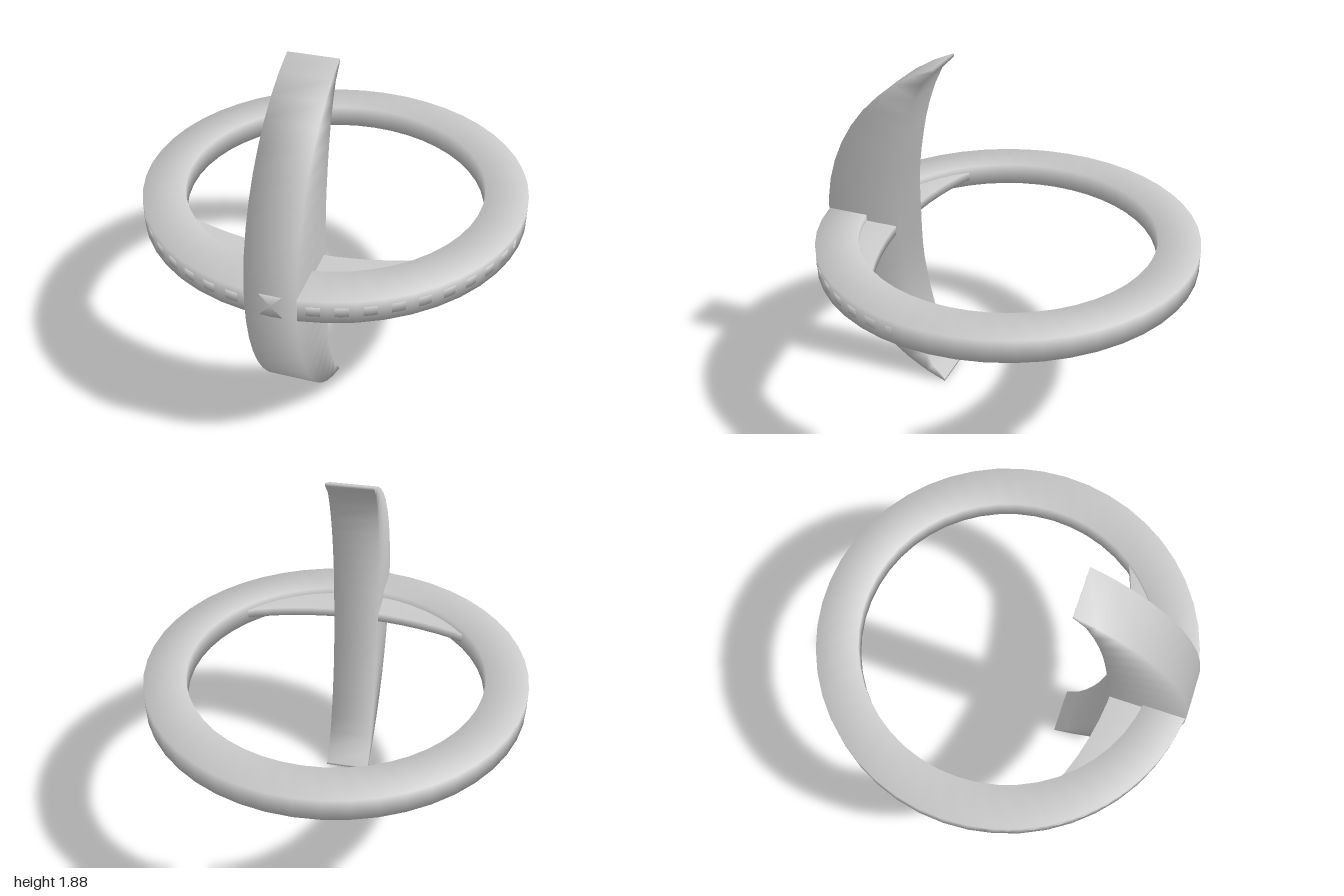
import * as THREE from 'three';

const MID = 0.94;      // height of the ring plane
const SEGMENTS = 48;   // sides of the ring

// Skins four-cornered sections [x, z] outer and inner, of half height h.
function sweep(sections, h, closed) {
  const pos = [], index = [], n = sections.length;
  for (const { outer, inner } of sections) {
    pos.push(outer[0], h, outer[1], inner[0], h, inner[1]);
    pos.push(inner[0], -h, inner[1], outer[0], -h, outer[1]);
  }
  for (let i = 0; i < (closed ? n : n - 1); i++) {
    const a = i * 4, b = ((i + 1) % n) * 4;
    for (let j = 0; j < 4; j++) {
      const k = (j + 1) % 4;
      index.push(a + j, b + j, a + k, b + j, b + k, a + k);
    }
  }
  if (!closed) {
    const e = (n - 1) * 4;
    index.push(0, 1, 2, 0, 2, 3, e, e + 3, e + 2, e, e + 2, e + 1);
  }
  const geometry = new THREE.BufferGeometry();
  geometry.setAttribute('position', new THREE.Float32BufferAttribute(pos, 3));
  geometry.setIndex(index);
  geometry.computeVertexNormals();
  return geometry;
}

// Crescent with a unit-circle outer edge and a mirrored spline inner edge.
function crescent(halfAngle, steps, innerHalf, h) {
  const mirrored = innerHalf.slice(1).reverse().map(([x, z]) => [-x, z]);
  const curve = new THREE.SplineCurve(
    [...mirrored, ...innerHalf].map(([x, z]) => new THREE.Vector2(x, z)));
  const sections = [];
  for (let i = 0; i <= steps; i++) {
    const t = halfAngle * (2 * i / steps - 1);
    const p = curve.getPointAt(i / steps);
    sections.push({ outer: [Math.sin(t), Math.cos(t)], inner: [p.x, p.y] });
  }
  return sweep(sections, h, false);
}

export function createModel() {
  const group = new THREE.Group();
  const material = new THREE.MeshStandardMaterial({ color: 0xcccccc });
  const add = (name, geometry) => {
    const mesh = new THREE.Mesh(geometry, material);
    mesh.name = name;
    mesh.position.y = MID;
    group.add(mesh);
    return mesh;
  };

  // Flat horizontal ring with softly shaded edges
  const sections = [];
  for (let i = 0; i < SEGMENTS; i++) {
    const t = i / SEGMENTS * Math.PI * 2, s = Math.sin(t), c = Math.cos(t);
    sections.push({ outer: [s, c], inner: [0.78 * s, 0.78 * c] });
  }
  add('ring', sweep(sections, 0.06, true));

  // Thin crescent fin inside the front of the ring; its corners fall
  // between those of the ring and show as dashes on the outer wall
  const step = Math.PI * 2 / SEGMENTS;
  add('horizontalFin', crescent(step * 10.5, 21,
    [[0, 0.6], [0.3, 0.575], [0.6, 0.49], [0.83, 0.34], [0.975, 0.175]], 0.025));

  // Tall upright crescent blade across the front
  const blade = add('verticalBlade', crescent(Math.asin(MID), 20,
    [[0, 0.565], [0.28, 0.558], [0.57, 0.51], [0.735, 0.46], [0.85, 0.41], [0.925, 0.34]], 0.125));
  blade.rotation.z = Math.PI / 2;

  return group;
}
